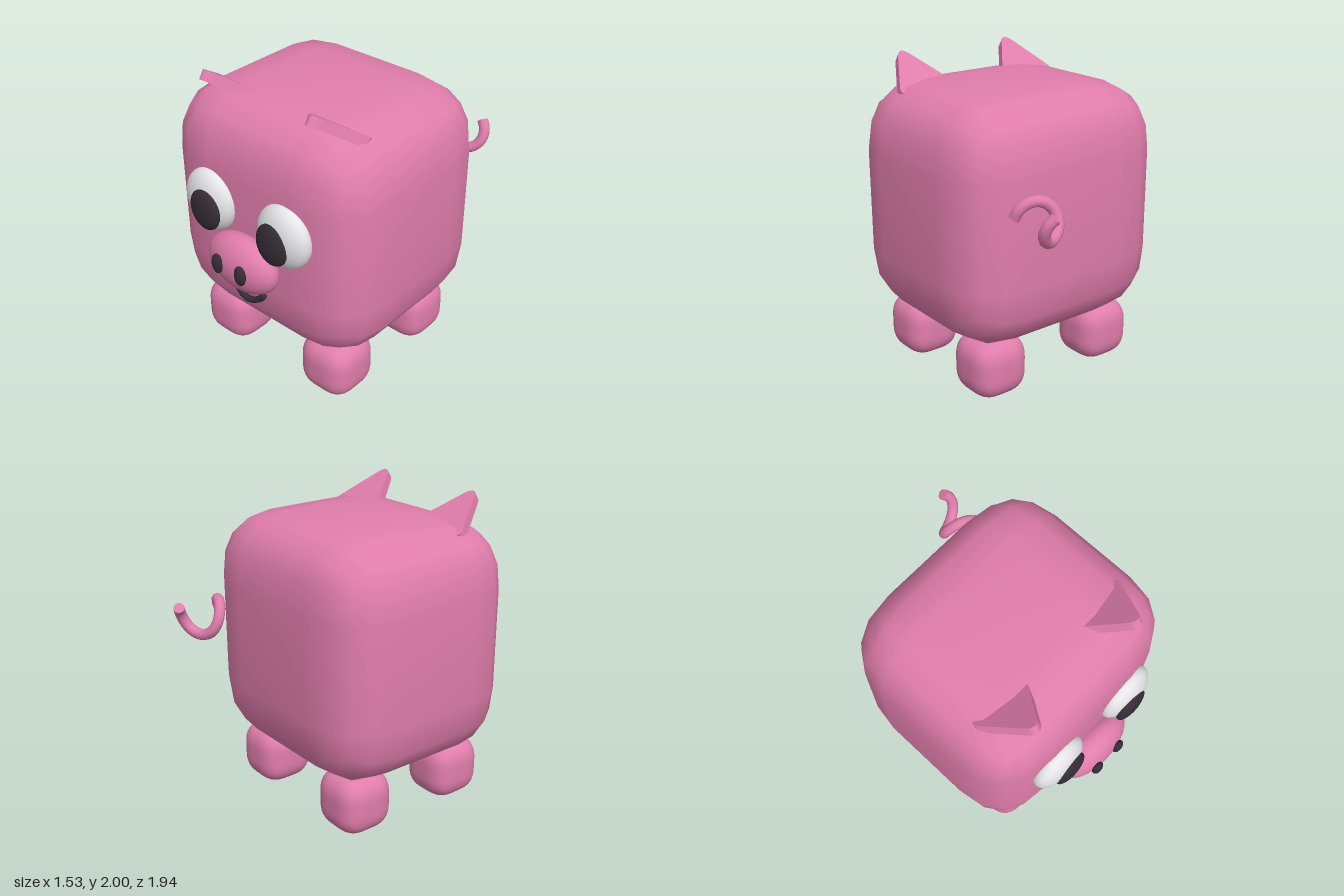
import * as THREE from 'three';
import { mergeVertices, mergeGeometries } from 'three/addons/utils/BufferGeometryUtils.js';

const mat = (name, color) => {
  const m = new THREE.MeshStandardMaterial({ color });
  m.name = name;
  return m;
};

// Cube with rounded edges: inner share `flat` stays flat, the rest follows a superellipse.
function softCube(w, h, d, flat, steps, power) {
  const n = steps + 1;
  const g = new THREE.BoxGeometry(2, 2, 2, 2 * n, 2 * n, 2 * n);
  g.deleteAttribute('uv');
  g.deleteAttribute('normal');
  const pos = g.attributes.position;
  const round = 1 - flat;
  for (let i = 0; i < pos.count; i++) {
    const p = [pos.getX(i), pos.getY(i), pos.getZ(i)];
    const sign = p.map(Math.sign);
    const a = p.map(Math.abs);
    const inner = a.map((v) => Math.min(v * n, 1) * flat);
    const out = a.map((v) => Math.max(0, (v * n - 1) / steps));
    const len = Math.pow(out.reduce((s, v) => s + Math.pow(v, power), 0), 1 / power) || 1;
    const q = out.map((v, k) => sign[k] * (inner[k] + (round * v) / len));
    pos.setXYZ(i, (q[0] * w) / 2, (q[1] * h) / 2, (q[2] * d) / 2);
  }
  const merged = mergeVertices(g, 1e-4);
  merged.computeVertexNormals();
  return merged;
}

// Tube with a flat disc on each end.
function cappedTube(curve, segments, radius, sides) {
  const parts = [new THREE.TubeGeometry(curve, segments, radius, sides)];
  for (const [t, dir] of [[0, -1], [1, 1]]) {
    const q = new THREE.Quaternion().setFromUnitVectors(
      new THREE.Vector3(0, 0, 1), curve.getTangentAt(t).multiplyScalar(dir));
    const at = curve.getPointAt(t);
    parts.push(new THREE.CircleGeometry(radius, sides).applyQuaternion(q).translate(at.x, at.y, at.z));
  }
  return mergeGeometries(parts);
}

// Triangle outline with each corner cut back by r and rounded.
function roundedTriangle(points, radii) {
  const shape = new THREE.Shape();
  points.forEach((p, i) => {
    const toward = (o) => p.clone().add(o.clone().sub(p).setLength(radii[i]));
    const a = toward(points[(i + 2) % 3]);
    const b = toward(points[(i + 1) % 3]);
    if (i) shape.lineTo(a.x, a.y);
    else shape.moveTo(a.x, a.y);
    shape.quadraticCurveTo(p.x, p.y, b.x, b.y);
  });
  shape.closePath();
  return shape;
}

export function createModel() {
  const group = new THREE.Group();
  const pink = mat('pink skin', 0xe07dab);
  const white = mat('eye white', 0xe8e8ea);
  const dark = mat('dark detail', 0x352d35);
  dark.side = THREE.DoubleSide;

  const add = (name, geometry, material, x = 0, y = 0, z = 0) => {
    const mesh = new THREE.Mesh(geometry, material);
    mesh.name = name;
    mesh.position.set(x, y, z);
    group.add(mesh);
    return mesh;
  };
  const ellipsoid = (name, material, x, y, z, rx, ry, rz) =>
    add(name, new THREE.SphereGeometry(1, 32, 20).scale(rx, ry, rz), material, x, y, z);

  add('body', softCube(1.53, 1.535, 1.37, 0.431, 2, 2.376), pink, 0, 1.1025, 0.085);
  ellipsoid('snout', pink, 0, 0.937, 0.82, 0.27, 0.188, 0.125);

  for (const [side, s] of [['left', 1], ['right', -1]]) {
    // Legs
    const leg = softCube(0.38, 0.39, 0.38, 0.2, 5, 2.4);
    add(side + 'FrontLeg', leg, pink, s * 0.425, 0.2, 0.465);
    add(side + 'BackLeg', leg, pink, s * 0.425, 0.2, -0.28);

    // Face
    ellipsoid(side + 'Eye', white, s * 0.3, 1.237, 0.77, 0.195, 0.203, 0.1);
    ellipsoid(side + 'Pupil', dark, s * 0.275, 1.207, 0.85, 0.119, 0.137, 0.045);
    ellipsoid(side + 'Nostril', dark, s * 0.095, 0.95, 0.943, 0.042, 0.068, 0.027);

    // Ears: thick triangles leaning forward
    const outline = roundedTriangle([
      new THREE.Vector2(s * 0.615, -0.035),
      new THREE.Vector2(s * 0.215, 0.045),
      new THREE.Vector2(s * 0.415, 0.375),
    ], [0.07, 0.03, 0.1]);
    const ear = new THREE.ExtrudeGeometry(outline, { depth: 0.062, bevelEnabled: false, curveSegments: 6 });
    add(side + 'Ear', ear, pink, 0, 1.82, 0.38).rotation.x = THREE.MathUtils.degToRad(56);
  }

  // Smile
  const smile = new THREE.CatmullRomCurve3([
    new THREE.Vector3(-0.125, 0.725, 0.785),
    new THREE.Vector3(-0.07, 0.673, 0.795),
    new THREE.Vector3(0, 0.652, 0.8),
    new THREE.Vector3(0.07, 0.673, 0.795),
    new THREE.Vector3(0.125, 0.725, 0.785),
  ]);
  add('mouth', cappedTube(smile, 6, 0.021, 8), dark);

  // Curly tail: a helix running backwards
  const helix = [];
  for (let i = 0; i <= 14; i++) {
    const a = (i / 14) * 7.2;
    helix.push(new THREE.Vector3(0.41 + 0.1 * Math.cos(a), 1.265 + 0.1 * Math.sin(a), -0.63 - 0.043 * a));
  }
  add('tail', cappedTube(new THREE.CatmullRomCurve3(helix), 40, 0.035, 10), pink);

  return group;
}
